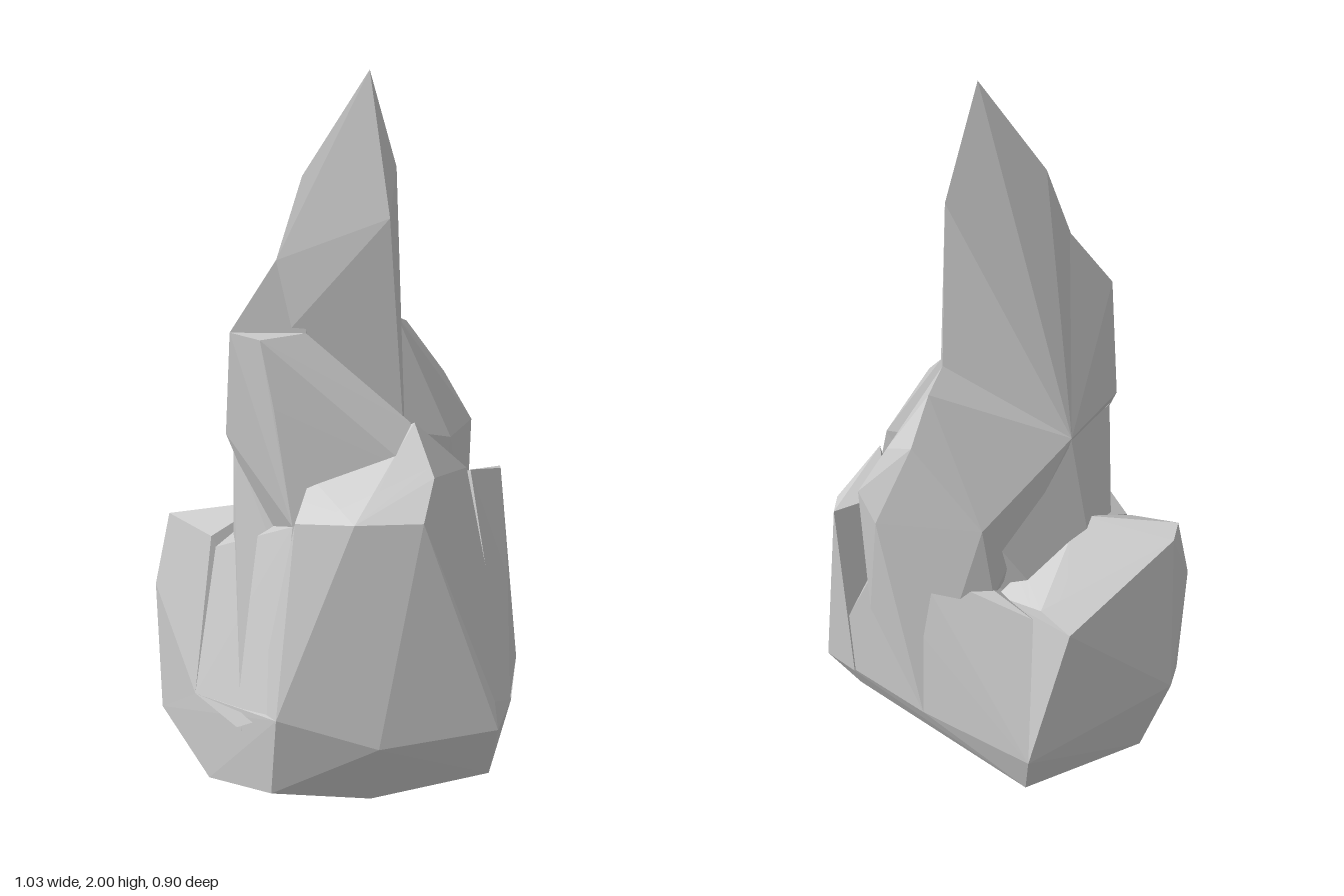
import * as THREE from 'three';
import { ConvexGeometry } from 'three/addons/geometries/ConvexGeometry.js';

// Each boulder is a faceted convex block given by its corner points.
const blocks = {
  // broad rounded foot
  base: [
    [-0.39, 0.03, -0.22], [-0.02, 0, -0.1], [0.43, 0.14, 0], [-0.03, 0.07, -0.39],
    [-0.39, 0.1, 0.11], [-0.24, 0.19, 0.37], [0.02, 0.16, 0.38], [0.34, 0.2, 0.36],
    [-0.51, 0.22, -0.1], [-0.42, 0.34, 0.07], [-0.23, 0.43, 0.43], [0.03, 0.34, 0.45],
    [0.35, 0.35, 0.405], [0.42, 0.36, 0.26], [0.515, 0.33, -0.06], [0.25, 0.27, -0.26],
    [-0.03, 0.24, -0.45], [-0.46, 0.3, -0.25],
  ],
  // inner mass closing the gaps between the blocks
  core: [
    [-0.31, 0.33, 0.28], [0.34, 0.3, 0.3], [0.36, 0.3, -0.15], [-0.3, 0.3, -0.2],
    [-0.22, 0.83, 0.18], [-0.2, 0.83, -0.12], [0.08, 0.95, -0.27], [0.36, 0.86, -0.12],
    [0.3, 0.94, 0.07], [0.14, 1.08, 0.17], [0.18, 1.07, -0.08], [-0.17, 1.09, -0.1],
    [-0.3, 1.06, 0.09],
  ],
  // large sloping block at the front
  frontBlock: [
    [-0.23, 0.43, 0.43], [0.03, 0.34, 0.45], [0.35, 0.35, 0.405], [0.34, 0.43, 0.4],
    [0.42, 0.36, 0.26], [-0.28, 0.35, 0.3], [-0.17, 0.93, 0.36], [-0.03, 0.94, 0.42],
    [0.14, 0.94, 0.43], [0.18, 1.03, 0.35], [0.15, 1.14, 0.23], [-0.12, 1.02, 0.27],
    [0.31, 0.98, 0.13], [0.36, 0.7, 0.17], [-0.1, 0.9, 0.1], [0.1, 0.5, 0.05],
  ],
  // upright slab on the left flank
  sideSlab: [
    [0.42, 0.36, 0.25], [0.515, 0.33, -0.06], [0.46, 0.9, -0.11], [0.45, 0.91, -0.06],
    [0.33, 0.96, 0.09], [0.44, 0.65, 0.1], [0.32, 0.9, -0.05], [0.33, 0.35, 0.2],
    [0.44, 0.31, -0.12], [0.38, 0.55, 0.22], [0.25, 0.6, 0],
  ],
  // jagged shoulder behind the spire
  backShoulder: [
    [-0.17, 1.1, -0.11], [0.08, 0.96, -0.3], [0.16, 1.34, -0.1], [0.2, 1.31, -0.18],
    [0.25, 1.2, -0.25], [0.31, 1.16, -0.19], [0.39, 1.02, -0.18], [0.35, 0.95, -0.23],
    [0.38, 0.6, -0.17], [0.25, 0.27, -0.26], [0.05, 0.72, -0.28], [0.31, 1, -0.08],
    [0.15, 1.05, 0], [-0.1, 0.8, -0.1], [0.2, 0.3, 0],
  ],
  // sloping wall from the rim up to the shoulder
  backWall: [
    [0.515, 0.33, -0.06], [0.25, 0.27, -0.26], [-0.03, 0.24, -0.45], [-0.05, 0.68, -0.34],
    [0.05, 0.74, -0.28], [0.25, 0.8, -0.24], [0.37, 0.72, -0.17], [0.38, 0.65, -0.1],
    [0, 0.3, -0.1], [0, 0.65, -0.15],
  ],
  // low block at the rear right
  rearBlock: [
    [-0.03, 0.24, -0.45], [-0.46, 0.3, -0.25], [-0.51, 0.22, -0.1], [-0.515, 0.6, -0.1],
    [-0.47, 0.8, -0.12], [-0.45, 0.78, -0.17], [-0.14, 0.67, -0.4], [-0.07, 0.71, -0.34],
    [0.04, 0.71, -0.27], [-0.2, 0.83, -0.1], [-0.36, 0.76, -0.03], [-0.42, 0.34, 0.07],
    [-0.1, 0.3, 0],
  ],
  // sloping wall between the rear and front blocks
  sideWall: [
    [-0.42, 0.34, 0.07], [-0.32, 0.34, 0.28], [-0.23, 0.43, 0.4], [-0.35, 0.74, 0],
    [-0.24, 0.8, 0.14], [-0.17, 0.9, 0.3], [-0.2, 0.82, -0.1], [-0.2, 0.35, -0.1],
  ],
  // leaning buttress in front of the spire
  buttress: [
    [-0.31, 1.38, 0.2], [-0.24, 1.37, 0.25], [-0.12, 1.37, 0.19], [0.14, 1.14, 0.23],
    [0.14, 1.03, 0.3], [-0.12, 1.02, 0.28], [-0.21, 1.2, 0.27], [-0.17, 0.9, 0.3],
    [-0.32, 1.09, 0.1], [-0.22, 0.83, 0.12], [0.05, 1.05, 0.05],
  ],
  // wing on the right edge of the spire
  spireWing: [
    [-0.19, 1.55, 0.165], [-0.31, 1.38, 0.2], [-0.32, 1.09, 0.1], [-0.17, 1.1, -0.11],
    [-0.12, 1.37, 0.19], [-0.12, 1.65, 0.14], [0, 1.35, 0.05], [0, 1, 0.1], [-0.21, 0.88, 0.08],
  ],
  // tall blade ending in the peak
  spire: [
    [0.05, 2, 0.105], [-0.12, 1.75, 0.13], [0.14, 1.75, -0.02], [0.09, 1.65, 0.185],
    [-0.19, 1.55, 0.165], [-0.17, 1.37, 0.19], [-0.17, 1.1, -0.11], [0.08, 1.34, 0.17],
    [0.16, 1.34, -0.1], [0.14, 1, 0.17], [0.18, 1, -0.1], [-0.15, 1, 0.15],
  ],
};

// Triangles of a convex block as lists of three corners.
function hullFaces(corners) {
  const position = new ConvexGeometry(corners.map((c) => new THREE.Vector3(...c))).attributes.position;
  const faces = [];
  for (let i = 0; i < position.count; i += 3) {
    faces.push([0, 1, 2].map((k) => new THREE.Vector3().fromBufferAttribute(position, i + k)));
  }
  return faces;
}

// The part of a flat polygon on the positive (sign 1) or negative side of a plane.
function clip(polygon, plane, sign) {
  const result = [];
  polygon.forEach((a, i) => {
    const b = polygon[(i + 1) % polygon.length];
    const da = plane.distanceToPoint(a) * sign;
    const db = plane.distanceToPoint(b) * sign;
    if (da >= 0) result.push(a);
    if (da * db < 0) result.push(a.clone().lerp(b, da / (da - db)));
  });
  return result;
}

// Pieces of a polygon left outside a convex block; shared faces stay with one block.
function subtract(polygon, planes, keepShared) {
  const pieces = [];
  let inside = polygon;
  for (const plane of planes) {
    const distances = inside.map((p) => plane.distanceToPoint(p));
    const highest = Math.max(...distances);
    const lowest = Math.min(...distances);
    if (highest < 1e-5 && (lowest < -1e-5 || !keepShared)) continue;
    if (lowest > -1e-5) return [polygon];
    pieces.push(clip(inside, plane, 1));
    inside = clip(inside, plane, -1);
  }
  return pieces;
}

export function createModel() {
  const group = new THREE.Group();
  group.name = 'rockSpire';
  const stone = new THREE.MeshStandardMaterial({ color: 0xcccccc, flatShading: true });
  const hulls = Object.values(blocks).map(hullFaces);
  const planes = hulls.map((faces) => faces.map((f) => new THREE.Plane().setFromCoplanarPoints(...f)));

  // Trim away whatever is buried in the neighbouring blocks.
  Object.keys(blocks).forEach((name, i) => {
    let skin = hulls[i];
    planes.forEach((other, j) => {
      if (i !== j) skin = skin.flatMap((polygon) => subtract(polygon, other, i < j));
    });
    const points = skin.flatMap((p) => p.slice(2).flatMap((corner, k) => [p[0], p[k + 1], corner]));
    const geometry = new THREE.BufferGeometry().setFromPoints(points);
    geometry.computeVertexNormals();
    const mesh = new THREE.Mesh(geometry, stone);
    mesh.name = name;
    group.add(mesh);
  });
  return group;
}
